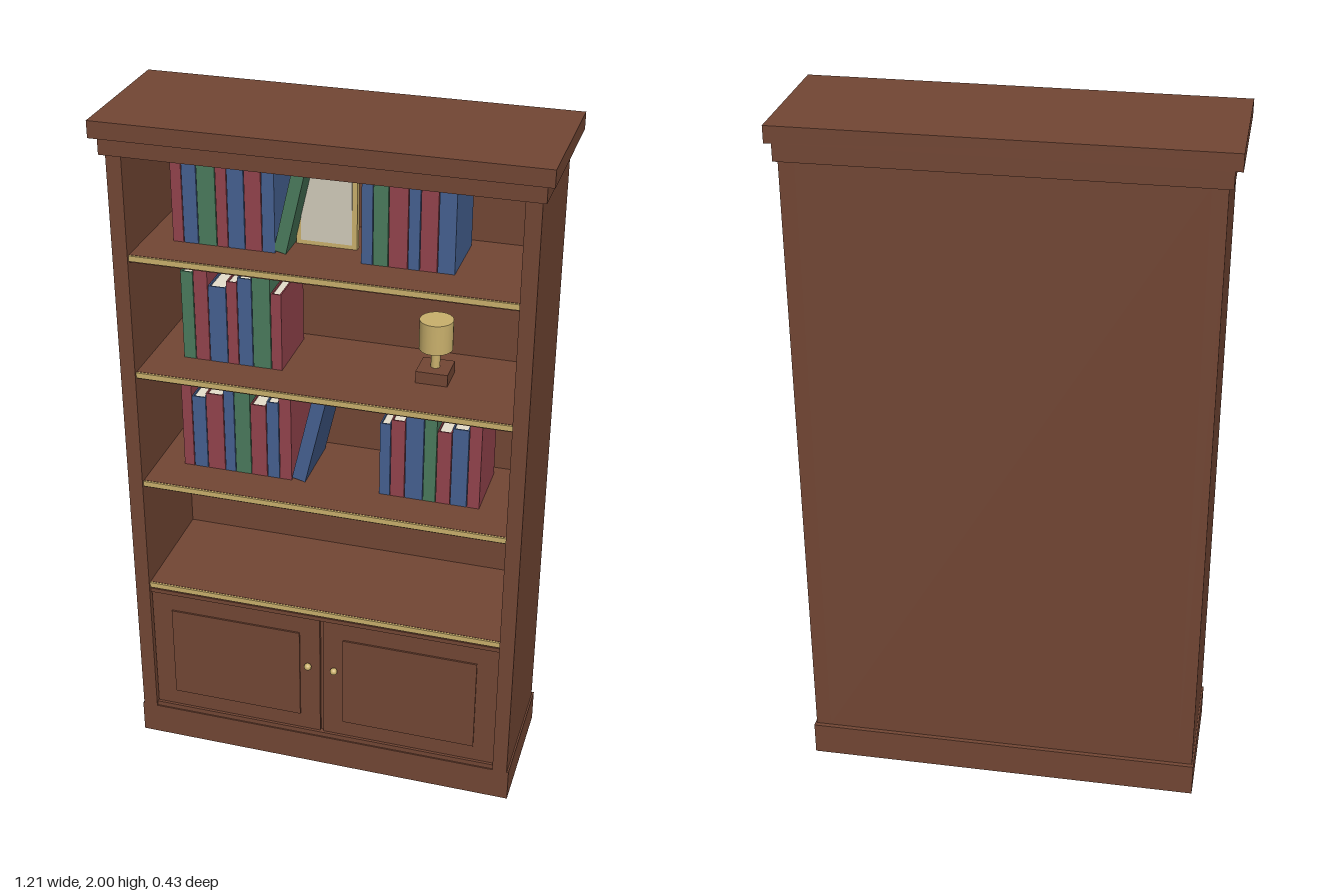
import * as THREE from 'three';

const mat = (name, color) => Object.assign(new THREE.MeshStandardMaterial({ color }), { name });

export function createModel() {
  const model = new THREE.Group();
  model.name = 'bookcase';
  const wood = mat('brown wood', 0x724634);
  const gold = mat('brass', 0xc9b06c);
  const paper = mat('cream paper', 0xe6dfcc);
  const picture = mat('picture grey', 0xd0cbba);
  const covers = {
    r: mat('red cover', 0x93434c),
    b: mat('blue cover', 0x456090),
    g: mat('green cover', 0x4a7a5c),
  };

  // Box given by its lower and upper bounds on each axis
  function box(name, material, x0, x1, y0, y1, z0, z1, parent = model) {
    const m = new THREE.Mesh(new THREE.BoxGeometry(x1 - x0, y1 - y0, z1 - z0), material);
    m.position.set((x0 + x1) / 2, (y0 + y1) / 2, (z0 + z1) / 2);
    m.name = name;
    parent.add(m);
    return m;
  }
  function cylinder(name, material, r, x, y0, y1, z) {
    const m = new THREE.Mesh(new THREE.CylinderGeometry(r, r, y1 - y0, 20), material);
    m.position.set(x, (y0 + y1) / 2, z);
    m.name = name;
    model.add(m);
  }

  // Carcass
  box('plinth', wood, -0.578, 0.578, 0, 0.1, -0.215, 0.18);
  box('backPanel', wood, -0.53, 0.53, 0.1, 1.905, -0.202, -0.185);
  box('lowerCornice', wood, -0.585, 0.585, 1.905, 1.953, -0.209, 0.2);
  box('upperCornice', wood, -0.605, 0.605, 1.953, 2, -0.211, 0.215);
  box('bottomRail', wood, -0.53, 0.53, 0.1, 0.115, -0.185, 0.176);
  box('centrePost', wood, -0.02, 0.02, 0.115, 0.53, -0.185, 0.16);
  for (const s of [-1, 1]) {
    box('sidePanel', wood, Math.min(s * 0.53, s * 0.573), Math.max(s * 0.53, s * 0.573), 0.1, 1.905, -0.202, 0.183);
  }

  // Shelves with brass front strips
  const shelfTops = [0.562, 0.915, 1.267, 1.619];
  for (const y of shelfTops) {
    box('shelf', wood, -0.53, 0.53, y - 0.022, y, -0.185, 0.17);
    box('shelfTrim', gold, -0.53, 0.53, y - 0.017, y - 0.001, 0.17, 0.176);
  }
  box('counterRail', wood, -0.53, 0.53, 0.527, 0.54, -0.185, 0.174);

  // Cupboard doors with raised panels and knobs
  for (const s of [-1, 1]) {
    const door = new THREE.Group();
    door.name = s > 0 ? 'leftDoor' : 'rightDoor';
    const mid = s * 0.2665;
    box('doorBoard', wood, mid - 0.2615, mid + 0.2615, 0.117, 0.525, 0.15, 0.17, door);
    box('doorPanel', wood, mid - 0.2, mid + 0.2, 0.17, 0.47, 0.17, 0.175, door);
    const knob = new THREE.Mesh(new THREE.SphereGeometry(0.011, 16, 12), gold);
    knob.name = 'knob';
    knob.position.set(s * 0.04, 0.357, 0.18);
    door.add(knob);
    model.add(door);
  }

  // One book with its origin at the bottom right corner
  function book(color, w, h, x, y, lean = 0) {
    const g = new THREE.Group();
    g.name = 'book';
    const c = covers[color], t = 0.004, z0 = -0.15, z1 = 0.05;
    box('cover', c, -w, -w + t, 0, h, z0, z1, g);
    box('cover', c, -t, 0, 0, h, z0, z1, g);
    box('spine', c, -w + t, -t, 0, h, z1 - t, z1, g);
    box('pages', paper, -w + t, -t, 0.004, h - 0.006, z0 + 0.006, z1 - t, g);
    g.position.set(x, y, 0);
    g.rotation.z = -lean;
    model.add(g);
  }

  // Rows of books: shelf, start x, then colour, width and height of each
  const rows = [
    [3, -0.452, 'r.032.23 b.042.25 g.053.27 r.032.285 b.048.23 r.048.25 b.037.27'],
    [3, 0.077, 'b.032.25 g.042.27 r.053.285 b.032.23 r.048.25 b.048.27'],
    [2, -0.437, 'g.037.265 r.042.28 b.053.23 r.032.25 b.042.265 g.053.28 r.032.23'],
    [1, -0.452, 'r.032.285 b.042.23 r.053.245 b.032.265 g.048.285 r.048.23 b.037.245 r.037.265'],
    [1, 0.135, 'b.032.23 r.042.245 b.053.265 g.037.285 r.042.23 b.048.245 r.037.265'],
  ];
  for (const [shelf, start, list] of rows) {
    let x = start;
    for (const item of list.split(' ')) {
      const [color, w, h] = item.split('.');
      x += +('0.' + w);
      book(color, +('0.' + w) - 0.002, +('0.' + h), x, shelfTops[shelf]);
    }
  }
  book('g', 0.035, 0.285, -0.13, shelfTops[3], 0.23);
  book('b', 0.04, 0.275, -0.083, shelfTops[1], 0.23);

  // Framed picture
  box('pictureFrame', gold, -0.125, 0.045, 1.619, 1.838, -0.05, -0.03);
  box('pictureFace', picture, -0.111, 0.031, 1.632, 1.825, -0.03, -0.027);

  // Small lamp
  box('lampBase', wood, 0.225, 0.315, 1.267, 1.302, -0.075, 0.015);
  cylinder('lampStem', gold, 0.013, 0.27, 1.302, 1.36, -0.03);
  cylinder('lampShade', gold, 0.047, 0.27, 1.358, 1.445, -0.03);

  return model;
}
